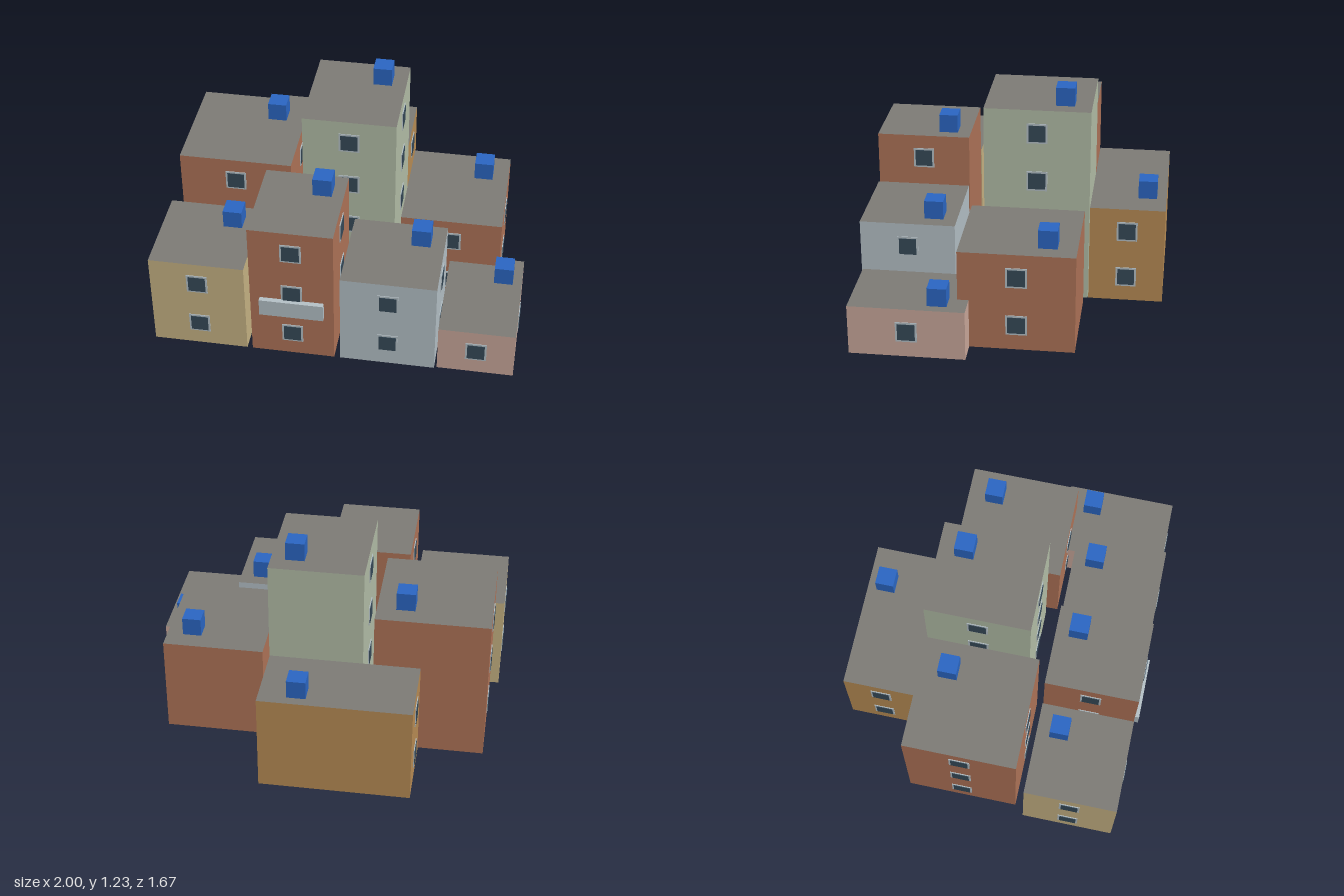
import * as THREE from 'three';

const paint = (name, color) =>
  new THREE.MeshStandardMaterial({ name, color, side: THREE.DoubleSide });

const FLOOR = 0.282;

export function createModel() {
  const mats = {
    rust: paint('rust', 0xb07458),
    mustard: paint('mustard', 0xb98d55),
    sage: paint('sage', 0xb4bfa8),
    tan: paint('tan', 0xc8b485),
    paleBlue: paint('paleBlue', 0xb6c2c8),
    pink: paint('pink', 0xcba99c),
    roof: paint('roofGrey', 0x7e7c77),
    glass: paint('darkGlass', 0x364a59),
    tank: paint('tankBlue', 0x2b67c4),
  };

  const add = (parent, name, geometry, material, x = 0, y = 0, z = 0) => {
    const mesh = new THREE.Mesh(geometry, material);
    mesh.name = name;
    mesh.position.set(x, y, z);
    parent.add(mesh);
    return mesh;
  };

  // Four walls without top or bottom
  const wallGeometry = (w, h, d) => {
    const g = new THREE.BoxGeometry(w, h, d);
    const index = Array.from(g.index.array);
    g.setIndex([...index.slice(0, 12), ...index.slice(24)]);
    g.clearGroups();
    return g;
  };

  // Pale frame plate with a smaller dark pane just in front
  const frameGeometry = new THREE.BoxGeometry(0.115, 0.115, 0.004);
  const paneGeometry = new THREE.BoxGeometry(0.094, 0.094, 0.004);
  const makeWindow = () => {
    const win = new THREE.Group();
    win.name = 'window';
    add(win, 'windowFrame', frameGeometry, mats.paleBlue, 0, 0, 0.002);
    add(win, 'windowPane', paneGeometry, mats.glass, 0, 0, 0.005);
    return win;
  };

  const tankGeometry = new THREE.BoxGeometry(0.104, 0.104, 0.104);

  const makeHouse = ({ name, color, x: [x0, x1], z: [z0, z1], floors, tank }) => {
    const w = x1 - x0, d = z1 - z0, h = floors * FLOOR;
    const cx = (x0 + x1) / 2, cz = (z0 + z1) / 2;
    const house = new THREE.Group();
    house.name = name;
    house.position.set(cx, 0, cz);

    add(house, 'walls', wallGeometry(w, h, d), mats[color], 0, h / 2, 0);
    add(house, 'roof', new THREE.PlaneGeometry(w, d).rotateX(-Math.PI / 2), mats.roof, 0, h, 0);
    add(house, 'waterTank', tankGeometry, mats.tank, tank[0] - cx, h + 0.052, tank[1] - cz);

    // Windows on the front and both sides of every floor; the back is blank
    for (let i = 0; i < floors; i++) {
      const y = 0.147 + i * FLOOR;
      for (const [x, z, turn] of [[0, d / 2, 0], [w / 2, 0, 1], [-w / 2, 0, -1]]) {
        const win = makeWindow();
        win.position.set(x, y, z);
        win.rotation.y = turn * Math.PI / 2;
        house.add(win);
      }
    }
    return house;
  };

  const houses = [
    { name: 'backHouse', color: 'mustard', x: [-0.58, 0.25], z: [-0.835, -0.42], floors: 2, tank: [0.045, -0.73] },
    { name: 'middleRightHouse', color: 'rust', x: [-0.945, -0.32], z: [-0.397, 0.23], floors: 3, tank: [-0.477, -0.238] },
    { name: 'tower', color: 'sage', x: [-0.265, 0.252], z: [-0.417, 0.167], floors: 4, tank: [0.12, -0.27] },
    { name: 'middleLeftHouse', color: 'rust', x: [0.295, 0.855], z: [-0.395, 0.23], floors: 2, tank: [0.714, -0.238] },
    { name: 'frontRightHouse', color: 'tan', x: [-0.996, -0.475], z: [0.284, 0.803], floors: 2, tank: [-0.607, 0.41] },
    { name: 'balconyHouse', color: 'rust', x: [-0.445, 0.012], z: [0.284, 0.803], floors: 3, tank: [-0.105, 0.41] },
    { name: 'frontMiddleHouse', color: 'paleBlue', x: [0.045, 0.563], z: [0.284, 0.803], floors: 2, tank: [0.435, 0.41] },
    { name: 'frontLeftHouse', color: 'pink', x: [0.577, 0.992], z: [0.17, 0.795], floors: 1, tank: [0.89, 0.325] },
  ];

  const model = new THREE.Group();
  model.name = 'hillsideHouses';
  for (const spec of houses) model.add(makeHouse(spec));

  // Balcony on the front of the narrow house
  add(model, 'balcony', new THREE.BoxGeometry(0.35, 0.102, 0.028), mats.paleBlue, -0.217, 0.334, 0.817);
  return model;
}
